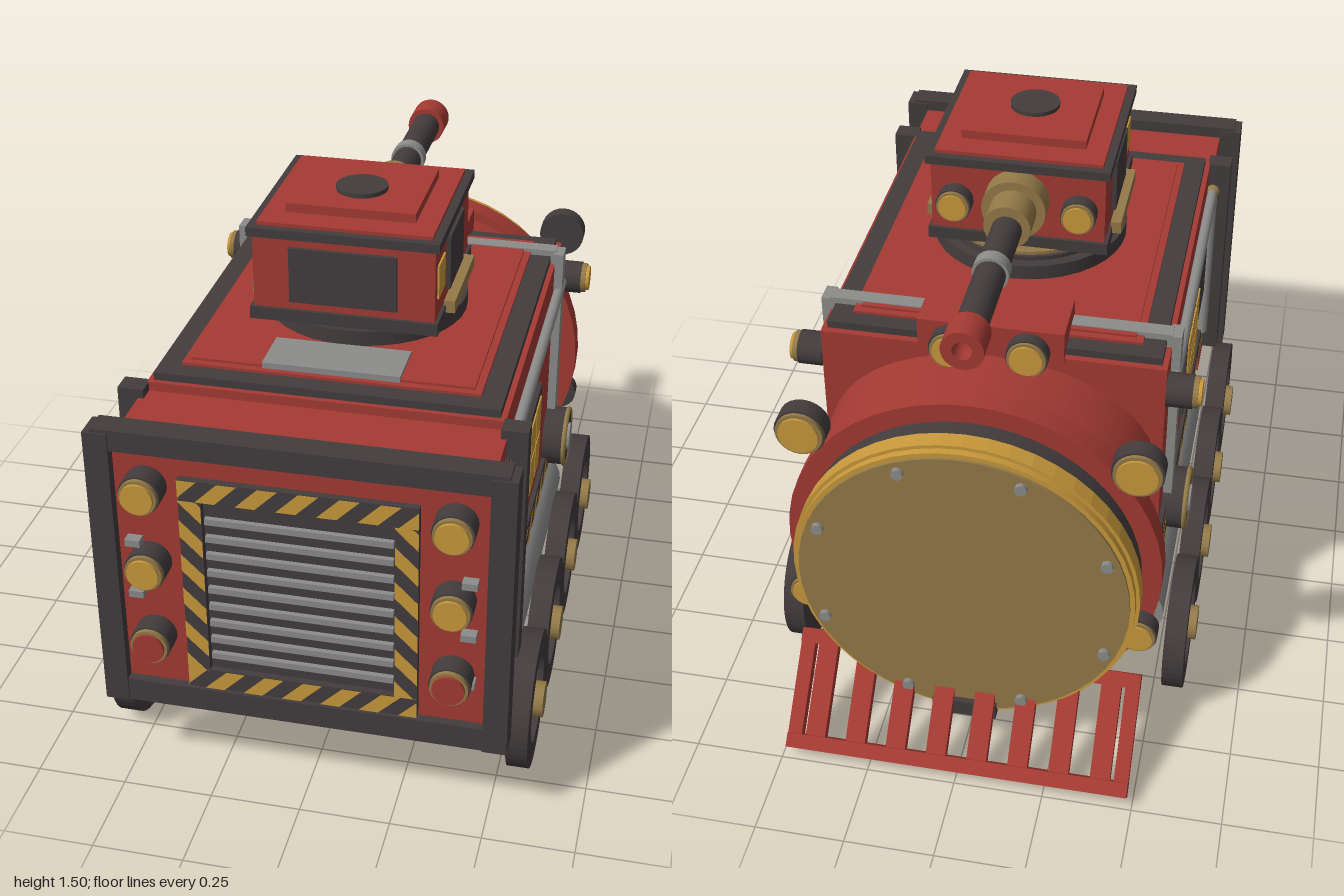
import * as THREE from 'three';

const mat = (name, color) => Object.assign(new THREE.MeshStandardMaterial({ color }), { name });
const red = mat('red paint', 0xa43a33), dark = mat('dark iron', 0x433c3d), yellow = mat('yellow', 0xc9993b);
const bronze = mat('bronze', 0x947a48), grey = mat('grey steel', 0x8c8c8b);

function add(parent, name, geo, material, x = 0, y = 0, z = 0) {
  const m = new THREE.Mesh(geo, material);
  m.name = name;
  m.position.set(x, y, z);
  parent.add(m);
  return m;
}
// box given by its limits on each axis
function box(p, name, material, x0, x1, y0, y1, z0, z1) {
  return add(p, name, new THREE.BoxGeometry(Math.abs(x1 - x0), y1 - y0, Math.abs(z1 - z0)), material,
    (x0 + x1) / 2, (y0 + y1) / 2, (z0 + z1) / 2);
}
// cylinder along z between z0 and z1
function rod(p, name, material, r, x, y, z0, z1, seg = 24) {
  const g = new THREE.CylinderGeometry(r, r, Math.abs(z1 - z0), seg).rotateX(Math.PI / 2);
  return add(p, name, g, material, x, y, (z0 + z1) / 2);
}
// flat ring with its axis along z
function ring(outer, inner, depth) {
  const s = new THREE.Shape().absarc(0, 0, outer, 0, Math.PI * 2);
  s.holes.push(new THREE.Path().absarc(0, 0, inner, 0, Math.PI * 2, true));
  return new THREE.ExtrudeGeometry(s, { depth, bevelEnabled: false, curveSegments: 24 }).translate(0, 0, -depth / 2);
}
// dark plate with slanted yellow stripes, facing local +z
function hazard(p, name, length, width, x, y, z, ry = 0, vertical = false) {
  const g = new THREE.Group();
  g.name = name;
  g.position.set(x, y, z);
  g.rotation.set(0, ry, vertical ? Math.PI / 2 : 0, 'YXZ');
  add(g, 'stripPlate', new THREE.BoxGeometry(length, width, 0.02), dark);
  const clamp = u => Math.min(Math.max(u, 0), length);
  const n = 6;
  for (let s = -width; s < length; s += 0.105) {
    if (s + 0.05 + width <= 0.005) continue;
    const pts = [];
    for (let i = 0; i <= n; i++) pts.push(new THREE.Vector2(clamp(s + 0.052 + width * i / n), width * i / n));
    for (let i = n; i >= 0; i--) pts.push(new THREE.Vector2(clamp(s + width * i / n), width * i / n));
    const clean = pts.filter((q, i) => i === 0 || q.distanceTo(pts[i - 1]) > 1e-5);
    add(g, 'stripe', new THREE.ShapeGeometry(new THREE.Shape(clean)), yellow, -length / 2, -width / 2, 0.013);
  }
  p.add(g);
}
// round lamp whose lens faces local +z, starting at the mounting point
function lamp(p, x, y, z, r, depth, ry = 0, lens = yellow) {
  const g = new THREE.Group();
  g.name = 'lamp';
  g.position.set(x, y, z);
  g.rotation.y = ry;
  rod(g, 'lampHousing', dark, r, 0, 0, 0, depth * 0.75);
  rod(g, 'lampRim', bronze, r * 0.92, 0, 0, depth * 0.7, depth * 0.9);
  rod(g, 'lampLens', lens, r * 0.78, 0, 0, depth * 0.8, depth);
  p.add(g);
}
function wheel(p, s, z) {
  const g = new THREE.Group();
  g.name = 'wheel';
  g.position.set(s * 0.56, 0.2, z);
  g.rotation.y = s * Math.PI / 2;
  add(g, 'tyre', ring(0.193, 0.124, 0.06), dark);
  for (let i = 0; i < 4; i++)
    add(g, 'spokes', new THREE.BoxGeometry(0.255, 0.032, 0.03), grey).rotation.z = i * Math.PI / 4 + Math.PI / 2;
  rod(g, 'hub', bronze, 0.05, 0, 0, -0.03, 0.05, 16);
  p.add(g);
}

function buildFront(p) {
  box(p, 'frontCab', red, -0.485, 0.485, 0.29, 1.075, 0.66, 0.92);
  for (const s of [-1, 1]) {
    box(p, 'frontPost', dark, s * 0.485, s * 0.55, 0.26, 1.1, 0.87, 0.95);
    box(p, 'rearPost', dark, s * 0.47, s * 0.54, 0.4, 1.1, 0.655, 0.715);
    hazard(p, 'cabSideStripes', 0.53, 0.045, s * 0.485, 0.76, 0.74, s * Math.PI / 2, true);
    hazard(p, 'grilleSideFrame', 0.53, 0.06, s * 0.28, 0.665, 0.935, 0, true);
    [0.95, 0.72, 0.485].forEach((y, i) => lamp(p, s * 0.4, y, 0.92, 0.055, 0.08, 0, i === 2 ? red : yellow));
    for (const y of [0.78, 0.62, 0.47]) box(p, 'latch', grey, s * 0.42, s * 0.46, y - 0.01, y + 0.01, 0.915, 0.95);
  }
  box(p, 'frontTopBeam', dark, -0.53, 0.53, 1.05, 1.11, 0.875, 0.945);
  box(p, 'frontBottomBeam', dark, -0.53, 0.53, 0.26, 0.33, 0.875, 0.945);
  for (const y of [0.37, 0.96]) hazard(p, 'grilleFrame', 0.62, 0.06, 0, y, 0.935);
  box(p, 'grilleBack', dark, -0.25, 0.25, 0.4, 0.93, 0.9, 0.926);
  for (let i = 0; i < 9; i++) {
    const y = 0.445 + i * 0.053;
    box(p, 'grilleSlat', grey, -0.245, 0.245, y - 0.009, y + 0.009, 0.92, 0.94);
  }
}

function buildBody(p) {
  box(p, 'chassis', dark, -0.46, 0.46, 0.27, 0.41, -0.62, 0.9);
  box(p, 'body', red, -0.475, 0.475, 0.41, 1.1, -0.43, 0.67);
  box(p, 'roofFrame', dark, -0.46, 0.46, 1.09, 1.122, -0.41, 0.655);
  box(p, 'roofPanel', red, -0.4, 0.4, 1.1, 1.13, -0.36, 0.6);
  box(p, 'roofInset', red, -0.38, 0.38, 1.12, 1.137, -0.34, 0.58);
  box(p, 'roofHatch', grey, -0.185, 0.185, 1.13, 1.147, 0.44, 0.585);
  box(p, 'roofStrap', grey, -0.475, 0.475, 1.1, 1.14, -0.325, -0.28);
  box(p, 'roofLampBox', red, -0.2, 0.2, 1.09, 1.185, -0.44, -0.27);
  for (const s of [-1, 1]) {
    const ry = s * Math.PI / 2;
    lamp(p, s * 0.105, 1.12, -0.435, 0.058, 0.055, Math.PI);
    hazard(p, 'skirtStripes', 0.96, 0.07, s * 0.478, 0.445, 0.19, ry);
    hazard(p, 'skirtEndStripes', 0.14, 0.15, s * 0.478, 0.485, -0.36, ry);
    // six-pane window
    box(p, 'windowFrame', dark, s * 0.47, s * 0.49, 0.59, 0.865, 0.03, 0.39);
    for (let i = 0; i < 3; i++) for (let j = 0; j < 2; j++)
      box(p, 'windowPane', yellow, s * 0.485, s * 0.494, 0.613 + j * 0.118, 0.72 + j * 0.118, 0.058 + i * 0.103, 0.148 + i * 0.103);
    box(p, 'sidePanel', dark, s * 0.47, s * 0.487, 0.64, 0.84, 0.43, 0.635);
    // pipework and strap
    rod(p, 'sidePipe', grey, 0.016, s * 0.49, 1.01, -0.38, 0.66, 12);
    add(p, 'downPipe', new THREE.CylinderGeometry(0.016, 0.016, 0.54, 12), grey, s * 0.49, 0.74, 0.645);
    add(p, 'pipeElbow', new THREE.SphereGeometry(0.022, 12, 8), bronze, s * 0.49, 1.01, 0.645);
    box(p, 'sideStrap', grey, s * 0.47, s * 0.5, 0.58, 1.135, -0.325, -0.265);
    lamp(p, s * 0.475, 1.01, -0.39, 0.048, 0.095, ry);
    // round gauge
    const g = new THREE.Group();
    g.name = 'gauge';
    g.position.set(s * 0.475, 0.52, -0.262);
    g.rotation.y = ry;
    rod(g, 'gaugeCase', dark, 0.09, 0, 0, 0, 0.07);
    add(g, 'gaugeRim', new THREE.TorusGeometry(0.086, 0.008, 8, 28), bronze, 0, 0, 0.066);
    rod(g, 'gaugeFace', grey, 0.034, 0, 0, 0.06, 0.078).scale.y = 1.35;
    p.add(g);
    // running gear
    for (let i = 0; i < 4; i++) wheel(p, s, 0.63 - i * 0.357);
    rod(p, 'tank', grey, 0.1, s * 0.41, 0.235, -0.46, 0.56);
  }
}

function buildBoiler(p) {
  const cy = 0.6;
  rod(p, 'boiler', red, 0.46, 0, 0.765, -0.64, -0.4, 40).scale.y = 0.69;
  rod(p, 'boilerFlange', red, 0.52, 0, cy, -0.7, -0.63, 48);
  rod(p, 'darkCollar', dark, 0.465, 0, cy, -0.76, -0.69, 48);
  add(p, 'yellowRing', ring(0.475, 0.43, 0.05), yellow, 0, cy, -0.785);
  rod(p, 'yellowLip', yellow, 0.465, 0, cy, -0.83, -0.76, 48);
  rod(p, 'boilerDoor', bronze, 0.452, 0, cy, -0.838, -0.8, 48);
  for (let i = 0; i < 8; i++) {
    const a = (i + 0.5) * Math.PI / 4;
    rod(p, 'doorBolt', grey, 0.017, Math.cos(a) * 0.42, cy + Math.sin(a) * 0.42, -0.852, -0.83, 8);
  }
  for (const s of [-1, 1]) {
    lamp(p, s * 0.445, 1.005, -0.7, 0.07, 0.068, Math.PI);
    lamp(p, s * 0.465, 0.425, -0.7, 0.055, 0.06, Math.PI);
    // striped lower arc of the collar
    for (let i = 0; i < 5; i++) {
      const a = -Math.PI / 2 + s * (0.3 + i * 0.17);
      const m = add(p, 'collarStripe', new THREE.BoxGeometry(0.02, 0.044, 0.055), yellow, Math.cos(a) * 0.468, cy + Math.sin(a) * 0.468, -0.732);
      m.rotation.z = a;
    }
  }
  box(p, 'coupling', dark, -0.09, 0.09, 0.13, 0.18, -0.855, -0.72);
  // sloping cowcatcher
  const c = new THREE.Group();
  c.name = 'cowcatcher';
  c.position.set(0, 0.16, -0.868);
  c.rotation.x = -Math.PI / 4;
  for (let i = 0; i < 8; i++)
    add(c, 'catcherBar', new THREE.BoxGeometry(0.056, 0.032, 0.33), red, (i - 3.5) * 0.116);
  for (const s of [-1, 1]) add(c, 'catcherSide', new THREE.BoxGeometry(0.04, 0.036, 0.33), red, s * 0.465);
  for (const z of [-0.148, 0.148]) add(c, 'catcherRail', new THREE.BoxGeometry(0.97, 0.05, 0.04), red, 0, 0, z);
  p.add(c);
}

function buildTurret(p) {
  const zc = 0.19;
  const disc = (name, m, r, y0, y1, z) => add(p, name, new THREE.CylinderGeometry(r, r, y1 - y0, 36), m, 0, (y0 + y1) / 2, z);
  disc('turretRing', dark, 0.28, 1.12, 1.18, 0.145);
  disc('turretNeck', dark, 0.25, 1.18, 1.192, 0.145);
  disc('turretBearing', bronze, 0.24, 1.19, 1.202, 0.145);
  box(p, 'turretBase', dark, -0.255, 0.255, 1.2, 1.235, zc - 0.255, zc + 0.255);
  box(p, 'turretBody', red, -0.245, 0.245, 1.23, 1.45, zc - 0.245, zc + 0.245);
  box(p, 'turretTrim', dark, -0.258, 0.258, 1.44, 1.465, zc - 0.258, zc + 0.258);
  box(p, 'turretRoof', red, -0.235, 0.235, 1.46, 1.475, zc - 0.235, zc + 0.235);
  box(p, 'turretRoofStep', red, -0.175, 0.175, 1.47, 1.5, zc - 0.16, zc + 0.16);
  disc('turretCap', dark, 0.07, 1.495, 1.512, 0.21);
  box(p, 'turretFrontWindow', dark, -0.145, 0.145, 1.26, 1.415, 0.43, 0.447);
  for (const s of [-1, 1]) {
    box(p, 'turretSideWindow', dark, s * 0.24, s * 0.257, 1.26, 1.415, 0.08, 0.28);
    box(p, 'turretSideLight', yellow, s * 0.243, s * 0.25, 1.29, 1.385, 0.315, 0.405);
    box(p, 'turretHandrail', bronze, s * 0.25, s * 0.28, 1.215, 1.25, 0.03, 0.33);
    lamp(p, s * 0.175, 1.33, -0.05, 0.05, 0.06, Math.PI);
  }
  // gun
  rod(p, 'gunMount', bronze, 0.09, 0, 1.35, -0.12, -0.04);
  rod(p, 'gunCollar', bronze, 0.065, 0, 1.35, -0.21, -0.11);
  rod(p, 'gunBarrel', dark, 0.042, 0, 1.345, -0.7, -0.2);
  rod(p, 'barrelBand', grey, 0.05, 0, 1.345, -0.43, -0.39);
  add(p, 'muzzle', ring(0.056, 0.026, 0.09), red, 0, 1.345, -0.725);
}

export function createModel() {
  const model = new THREE.Group();
  model.name = 'armouredLocomotive';
  for (const [name, build] of [['front', buildFront], ['hull', buildBody], ['boilerEnd', buildBoiler], ['turret', buildTurret]]) {
    const g = new THREE.Group();
    g.name = name;
    build(g);
    model.add(g);
  }
  return model;
}
